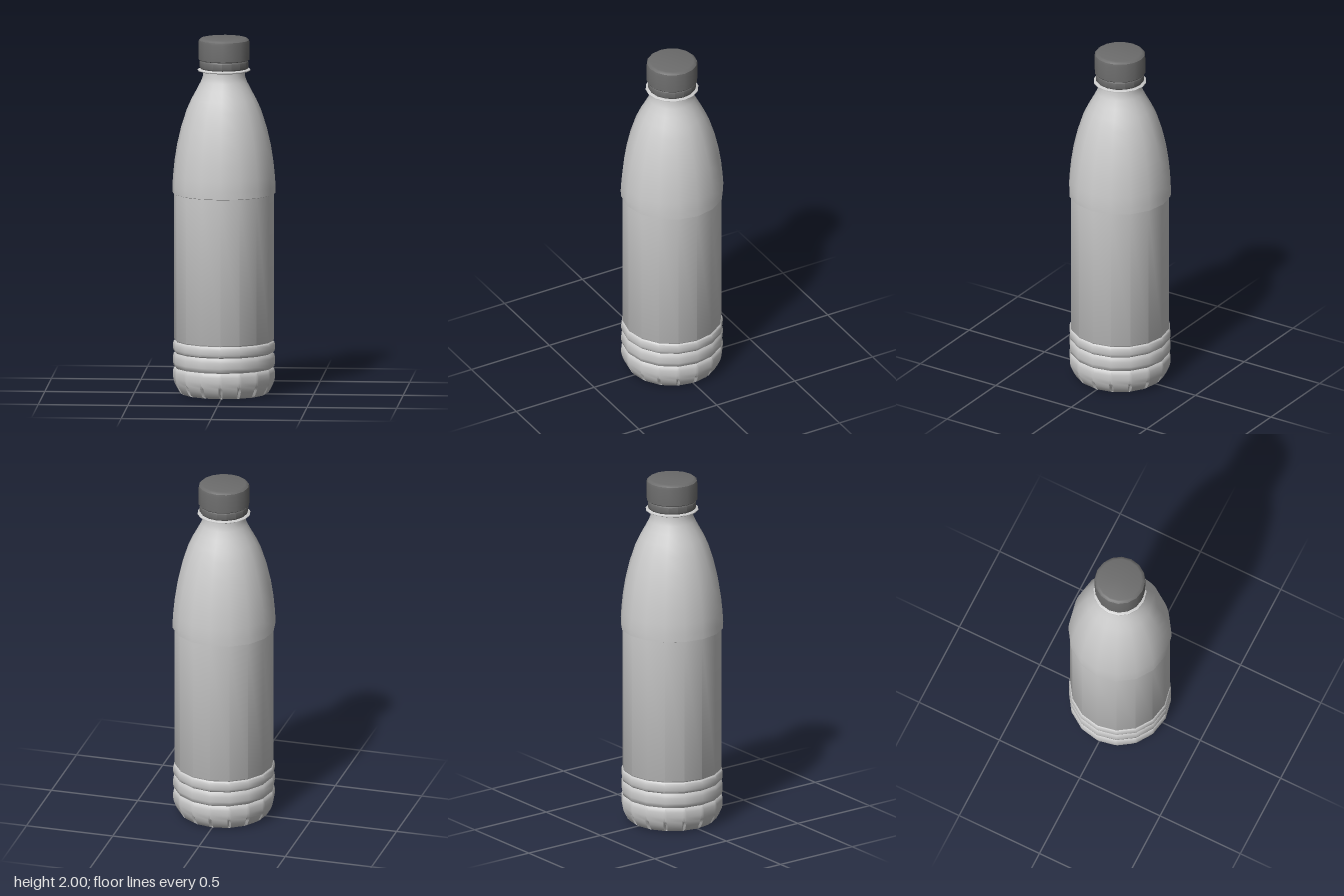
import * as THREE from 'three';
import { toCreasedNormals } from 'three/addons/utils/BufferGeometryUtils.js';

const SIDES = 16;
const STEP = (Math.PI * 2) / SIDES;

export function createModel() {
  const bottle = new THREE.Group();
  bottle.name = 'bottle';

  const plastic = new THREE.MeshStandardMaterial({ color: 0xcccccc });
  plastic.name = 'light grey plastic';
  const capGrey = new THREE.MeshStandardMaterial({ color: 0x6c6c6c });
  capGrey.name = 'dark grey cap';

  const toPoints = (list) => list.map(([r, y]) => new THREE.Vector2(r, y));

  function add(name, geometry, material) {
    const mesh = new THREE.Mesh(toCreasedNormals(geometry, 0.6), material);
    mesh.name = name;
    bottle.add(mesh);
  }
  const turned = (name, profile, material) =>
    add(name, new THREE.LatheGeometry(toPoints(profile), SIDES), material);

  // Base: hollow underside and rounded foot; [radius, y, foot slot depth, underside crease depth]
  const foot = [
    [0, 0.085, 0, 0], [0.03, 0.085, 0, 0], [0.05, 0.075, 0, 0.004],
    [0.12, 0.05, 0, 0.006], [0.18, 0.022, 0, 0.006], [0.21, 0.003, 0, 0.004],
    [0.22, 0, 0, 0], [0.238, 0.002, 0, 0], [0.252, 0.012, 0.014, 0],
    [0.268, 0.04, 0.016, 0], [0.277, 0.06, 0.008, 0], [0.28, 0.072, 0, 0],
    [0.285, 0.095, 0, 0], [0.285, 0.125, 0, 0], [0.281, 0.143, 0, 0], [0.274, 0.15, 0, 0],
  ];
  const base = new THREE.LatheGeometry(toPoints(foot), SIDES * 3);
  const position = base.attributes.position;
  const slotHalf = 0.04;
  for (let i = 0; i <= SIDES * 3; i++) {
    const corner = Math.round(i / 3);
    const offset = [0, slotHalf, -slotHalf][i % 3];
    const angle = corner * STEP + offset;
    const flat = Math.cos(STEP / 2) / Math.cos(STEP / 2 - Math.abs(offset));
    foot.forEach(([radius, y, slot, crease], j) => {
      const inSlot = offset === 0;
      const r = radius * flat - (inSlot ? slot : 0);
      const lift = inSlot && corner % 2 === 1 ? crease : 0;
      position.setXYZ(i * foot.length + j, Math.sin(angle) * r, y + lift, Math.cos(angle) * r);
    });
  }
  add('base', base, plastic);

  // Two rounded ribs above the foot
  [[0.15, 0.235], [0.235, 0.3]].forEach(([low, high], n) => {
    const h = high - low;
    turned(n ? 'upperRib' : 'lowerRib', [
      [0.274, low], [0.281, low + h * 0.1], [0.285, low + h * 0.32],
      [0.285, low + h * 0.68], [0.281, low + h * 0.9], [0.274, high],
    ], plastic);
  });

  // Straight grip section
  turned('body', [[0.274, 0.3], [0.278, 0.306], [0.278, 1.128]], plastic);

  // Shoulder with a small overhanging step at its lower edge
  turned('shoulder', [
    [0.276, 1.126], [0.287, 1.13], [0.288, 1.17], [0.284, 1.23], [0.276, 1.31],
    [0.262, 1.4], [0.239, 1.5], [0.207, 1.6], [0.18, 1.66], [0.15, 1.715],
    [0.128, 1.758], [0.118, 1.785], [0.116, 1.818],
  ], plastic);

  // Thin collar around the neck
  turned('neckCollar', [
    [0.114, 1.814], [0.14, 1.815], [0.148, 1.819], [0.148, 1.823], [0.14, 1.828], [0.114, 1.83],
  ], plastic);

  // Tamper ring and cap
  turned('tamperRing', [
    [0.112, 1.829], [0.132, 1.829], [0.136, 1.836], [0.136, 1.868], [0.131, 1.876], [0.112, 1.878],
  ], capGrey);
  turned('cap', [
    [0.11, 1.877], [0.14, 1.877], [0.143, 1.881], [0.143, 1.975],
    [0.14, 1.989], [0.13, 1.998], [0.122, 2], [0, 2],
  ], capGrey);

  return bottle;
}
